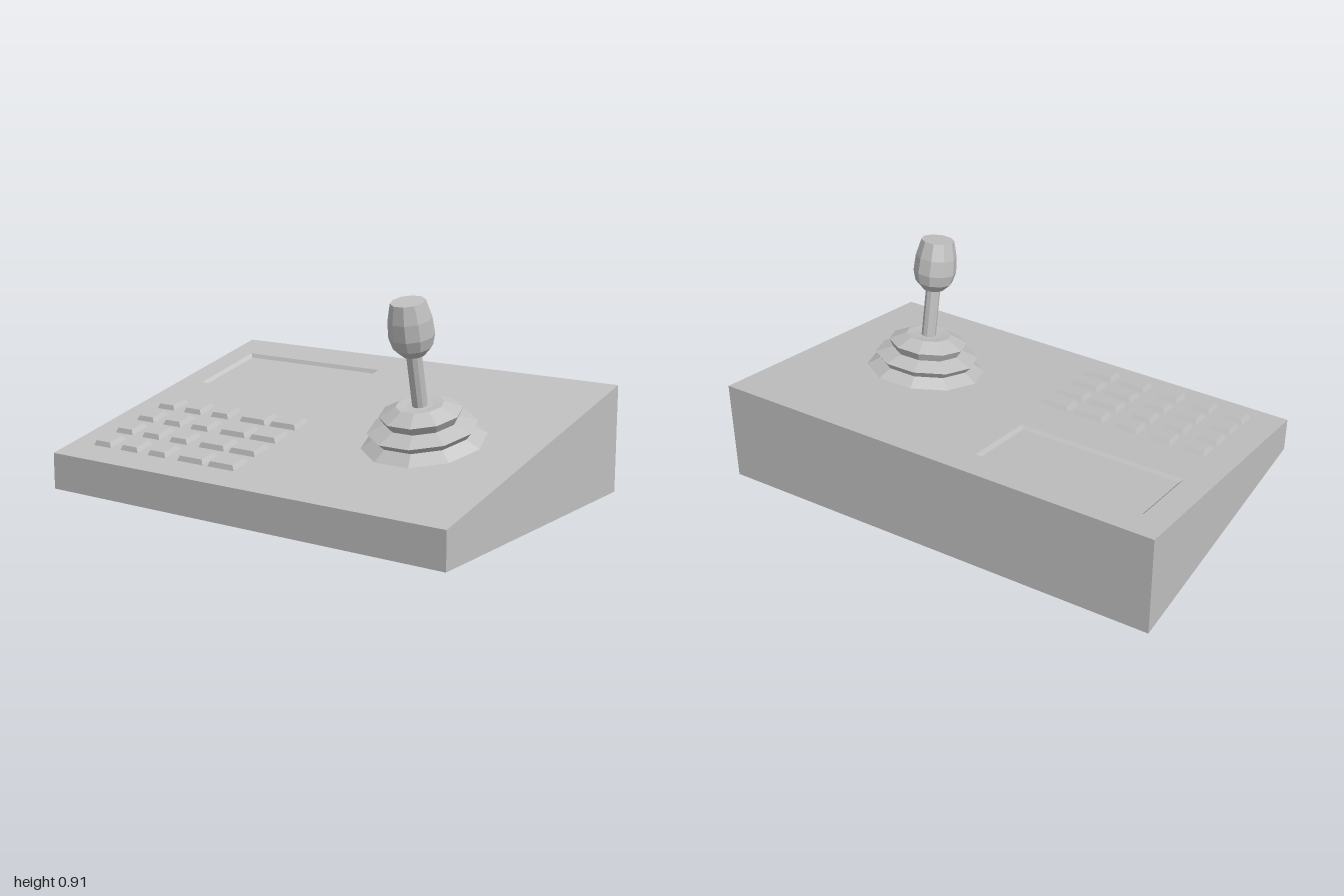
import * as THREE from 'three';

const FRONT_Y = 0.16, BACK_Y = 0.47, HALF_Z = 0.69;
const TILT = Math.atan2(BACK_Y - FRONT_Y, 2 * HALF_Z);
const HALF_SLOPE = HALF_Z / Math.cos(TILT);

// Flat geometry from four-cornered faces (corners counter-clockwise from outside)
function quads(faces) {
  const pos = [];
  for (const [a, b, c, d] of faces) pos.push(...a, ...b, ...c, ...a, ...c, ...d);
  const g = new THREE.BufferGeometry();
  g.setAttribute('position', new THREE.Float32BufferAttribute(pos, 3));
  g.computeVertexNormals();
  return g;
}

// Ten-sided turned part, flats facing front and back
function turned(profile) {
  const pts = profile.map(([r, y]) => new THREE.Vector2(r, y));
  return new THREE.LatheGeometry(pts, 10, Math.PI / 10);
}

// Box with its top face drawn in by a fixed inset
function keyGeometry(w, h, d, inset) {
  const g = new THREE.BoxGeometry(w, h, d);
  const p = g.attributes.position;
  for (let i = 0; i < p.count; i++) {
    if (p.getY(i) > 0) {
      p.setX(i, p.getX(i) - Math.sign(p.getX(i)) * inset);
      p.setZ(i, p.getZ(i) - Math.sign(p.getZ(i)) * inset);
    }
  }
  g.computeVertexNormals();
  return g;
}

export function createModel() {
  const model = new THREE.Group();
  model.name = 'controlConsole';
  const grey = new THREE.MeshStandardMaterial({ color: 0xc0c0c0 });
  grey.name = 'grey';
  grey.flatShading = true;

  function add(parent, name, geometry) {
    const m = new THREE.Mesh(geometry, grey);
    m.name = name;
    parent.add(m);
    return m;
  }

  // Wedge-shaped case without its sloped top
  const corner = (x, y, z) => [x, y, z * HALF_Z];
  const fl = corner(-1, 0, 1), fr = corner(1, 0, 1), bl = corner(-1, 0, -1), br = corner(1, 0, -1);
  const FL = corner(-1, FRONT_Y, 1), FR = corner(1, FRONT_Y, 1);
  const BL = corner(-1, BACK_Y, -1), BR = corner(1, BACK_Y, -1);
  add(model, 'case', quads([
    [fl, fr, FR, FL], [br, bl, BL, BR], [fr, br, BR, FR], [bl, fl, FL, BL], [bl, br, fr, fl],
  ]));

  // Everything on the sloped face is placed in its own tilted frame
  const panel = new THREE.Group();
  panel.name = 'panel';
  panel.position.y = (FRONT_Y + BACK_Y) / 2;
  panel.rotation.x = TILT;
  model.add(panel);

  // Sloped top with the screen opening
  const x0 = -0.88, x1 = -0.13, z0 = -0.547, z1 = -0.165;
  const top = new THREE.Shape([
    new THREE.Vector2(-1, -HALF_SLOPE), new THREE.Vector2(1, -HALF_SLOPE),
    new THREE.Vector2(1, HALF_SLOPE), new THREE.Vector2(-1, HALF_SLOPE),
  ]);
  top.holes.push(new THREE.Path([
    new THREE.Vector2(x0, -z0), new THREE.Vector2(x1, -z0),
    new THREE.Vector2(x1, -z1), new THREE.Vector2(x0, -z1),
  ]));
  add(panel, 'topPlate', new THREE.ShapeGeometry(top).rotateX(-Math.PI / 2));

  // Shallow recessed screen with bevelled walls
  const ring = (inset, y) => [
    [x0 + inset, y, z1 - inset], [x1 - inset, y, z1 - inset],
    [x1 - inset, y, z0 + inset], [x0 + inset, y, z0 + inset],
  ];
  const rim = ring(0, 0), floor = ring(0.014, -0.015);
  add(panel, 'screenBevel', quads(rim.map((p, i) => {
    const j = (i + 1) % 4;
    return [p, rim[j], floor[j], floor[i]];
  })));
  add(panel, 'screen', quads([floor]));

  // Keypad: three narrow columns and two wide ones
  const keypad = new THREE.Group();
  keypad.name = 'keypad';
  panel.add(keypad);
  const narrow = keyGeometry(0.1, 0.02, 0.1, 0.011);
  const wide = keyGeometry(0.14, 0.02, 0.1, 0.011);
  [-0.816, -0.66, -0.503, -0.318, -0.153].forEach((x, c) => {
    for (let r = 0; r < 4; r++) {
      add(keypad, 'key', c < 3 ? narrow : wide).position.set(x, 0.017, 0.118 + r * 0.141);
    }
  });

  // Joystick: stepped boot, shaft and grip
  const joystick = new THREE.Group();
  joystick.name = 'joystick';
  joystick.position.set(0.5, 0, 0.062);
  panel.add(joystick);
  add(joystick, 'boot', turned([
    [0.262, 0], [0.205, 0.035], [0.23, 0.063], [0.153, 0.092],
    [0.174, 0.128], [0.1, 0.163], [0.055, 0.158], [0, 0.158],
  ]));
  add(joystick, 'shaft', turned([[0.032, 0.15], [0.032, 0.39]]));
  add(joystick, 'grip', turned([
    [0, 0.376], [0.047, 0.378], [0.081, 0.412], [0.094, 0.46],
    [0.09, 0.53], [0.072, 0.604], [0, 0.604],
  ]));
  return model;
}
